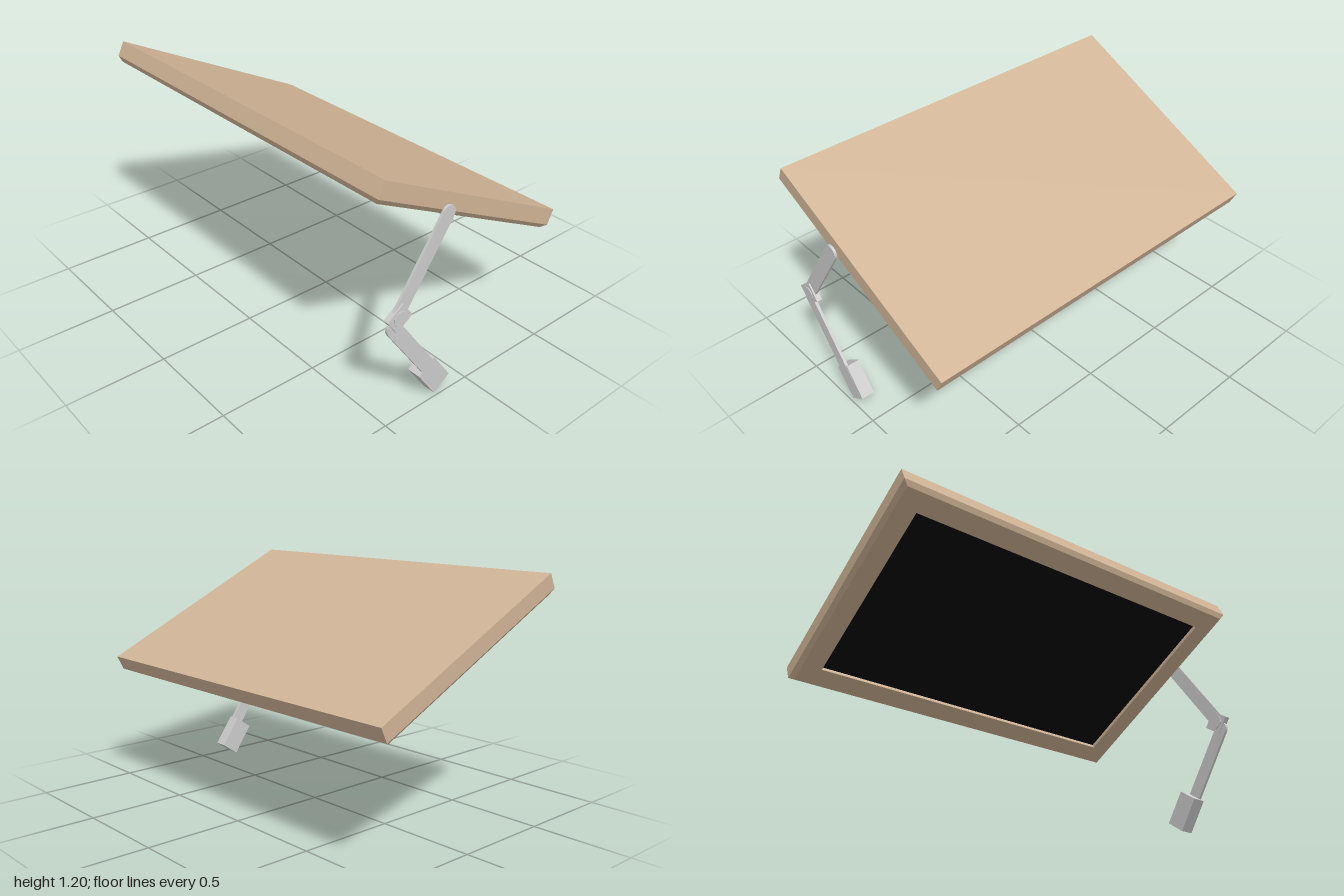
import * as THREE from 'three';

const wood = new THREE.MeshStandardMaterial({ color: 0xd0b496, flatShading: true });
const black = new THREE.MeshStandardMaterial({ color: 0x050505, flatShading: true });
const grey = new THREE.MeshStandardMaterial({ color: 0xcccccc, flatShading: true });

function addMesh(parent, name, geometry, material) {
  const mesh = new THREE.Mesh(geometry, material);
  mesh.name = name;
  parent.add(mesh);
  return mesh;
}

// Rectangular rings, each [inset, depth below the top], joined in order; the first is capped
function ringedSlab(width, length, rings) {
  const loops = rings.map(([inset, depth]) => {
    const x = width / 2 - inset, z = length / 2 - inset;
    return [[-x, -depth, z], [x, -depth, z], [x, -depth, -z], [-x, -depth, -z]];
  });
  const positions = [];
  const quad = (a, b, c, d) => positions.push(...a, ...b, ...c, ...a, ...c, ...d);
  quad(...loops[0]);
  for (let k = 0; k < loops.length - 1; k++) {
    for (let i = 0; i < 4; i++) {
      const j = (i + 1) % 4;
      quad(loops[k][i], loops[k + 1][i], loops[k + 1][j], loops[k][j]);
    }
  }
  const geometry = new THREE.BufferGeometry();
  geometry.setAttribute('position', new THREE.Float32BufferAttribute(positions, 3));
  geometry.computeVertexNormals();
  return geometry;
}

// Flat bar with round ends running between two points [x, y], from z0 to z1
function addBar(parent, name, from, to, radius, z0, z1) {
  const dx = to[0] - from[0], dy = to[1] - from[1];
  const length = Math.hypot(dx, dy);
  const shape = new THREE.Shape();
  shape.absarc(length, 0, radius, -Math.PI / 2, Math.PI / 2, false);
  shape.absarc(0, 0, radius, Math.PI / 2, Math.PI * 1.5, false);
  const geometry = new THREE.ExtrudeGeometry(shape, { depth: z1 - z0, bevelEnabled: false, curveSegments: 5 });
  const bar = addMesh(parent, name, geometry, grey);
  bar.position.set(from[0], from[1], z0);
  bar.rotation.z = Math.atan2(dy, dx);
}

// Box centred at [x, y], turned about z, from z0 to z1
function addBlock(parent, name, [x, y], width, height, z0, z1, turn) {
  const block = addMesh(parent, name, new THREE.BoxGeometry(width, height, z1 - z0), grey);
  block.position.set(x, y, (z0 + z1) / 2);
  block.rotation.z = turn;
}

export function createModel() {
  const model = new THREE.Group();
  model.name = 'tiltedPanelWithArm';

  // Sloping panel: chamfered lower edge, flat rim and recessed underside
  const panel = new THREE.Group();
  panel.name = 'panel';
  panel.position.set(0.016, 0.936, -0.0125);
  panel.rotation.z = -0.4496;
  model.add(panel);
  const rings = [[0, 0], [0, 0.078], [0.02, 0.1], [0.12, 0.1], [0.12, 0.08]];
  addMesh(panel, 'panelFrame', ringedSlab(1.2, 1.975, rings), wood);
  const inset = addMesh(panel, 'undersidePane', new THREE.BoxGeometry(0.96, 0.02, 1.735), black);
  inset.position.y = -0.07;

  // Folding arm at the front edge
  const arm = new THREE.Group();
  arm.name = 'foldingArm';
  model.add(arm);
  addBar(arm, 'upperArm', [-0.175, 0.932], [-0.436, 0.55], 0.037, 0.976, 0.988);
  addBar(arm, 'lowerArm', [-0.46, 0.49], [-0.2, 0.125], 0.037, 0.972, 0.986);

  // Elbow block and its pin
  addBlock(arm, 'elbowBlock', [-0.436, 0.536], 0.103, 0.094, 0.969, 0.996, 0.62);
  const pin = addMesh(arm, 'elbowPin', new THREE.CylinderGeometry(0.037, 0.037, 0.036, 10), grey);
  pin.rotation.x = Math.PI / 2;
  pin.position.set(-0.436, 0.537, 0.982);

  // Foot block at the bottom of the lower arm
  addBlock(arm, 'footBlock', [-0.194, 0.105], 0.11, 0.18, 0.917, 0.985, 0.614);

  return model;
}
